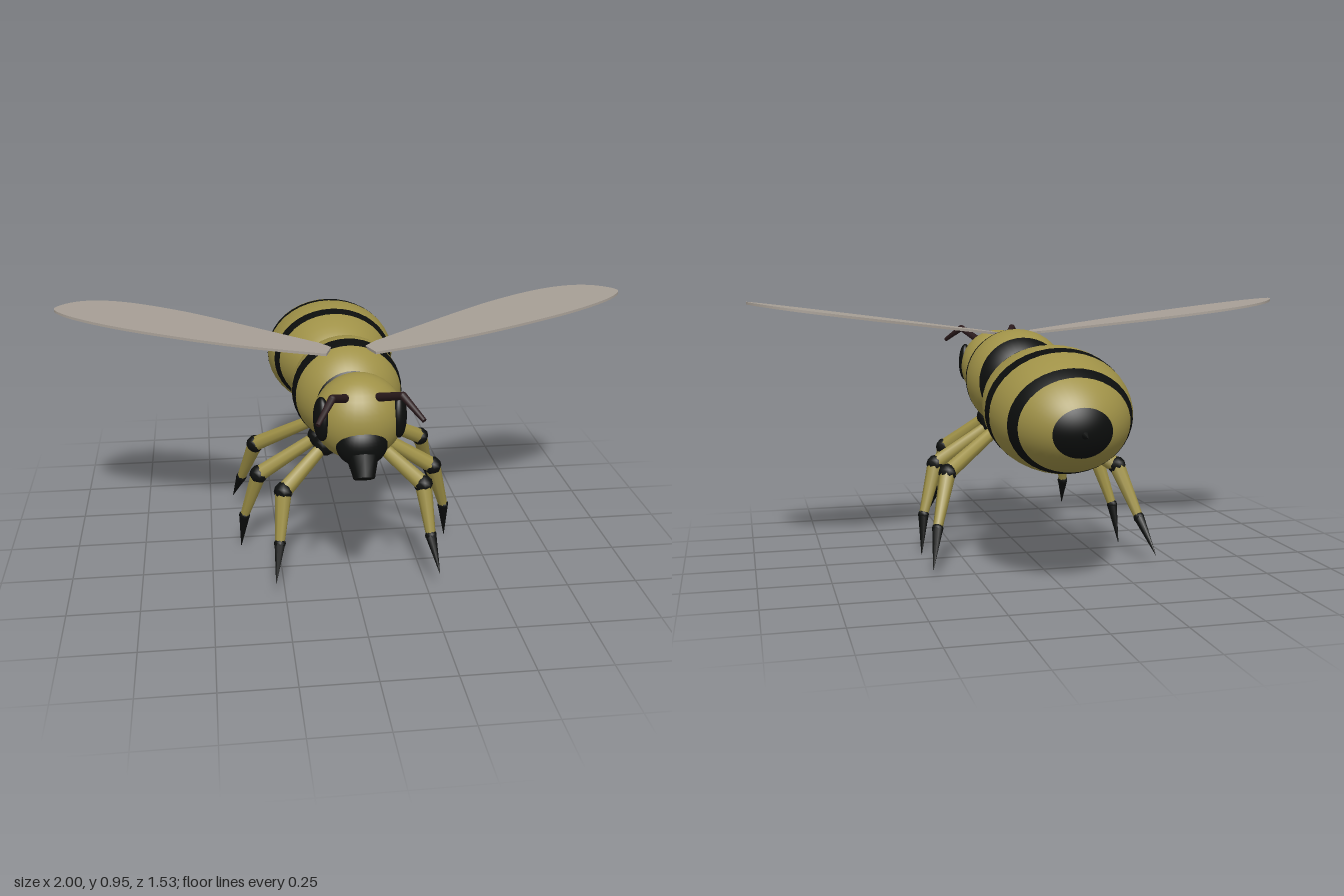
import * as THREE from 'three';

const mat = (name, color, flat = false) => {
  const m = new THREE.MeshStandardMaterial({ color, flatShading: flat });
  m.name = name;
  return m;
};
const V = (x, y, z) => new THREE.Vector3(x, y, z);

export function createModel() {
  const bee = new THREE.Group();
  bee.name = 'bee';
  const yellow = mat('yellow', 0x9f9147);
  const black = mat('black', 0x0c0e0d);
  const wingGrey = mat('wing grey', 0xa79f96);
  const brown = mat('dark brown', 0x2a1a1c);
  const grey = mat('grey', 0x777777);

  const add = (parent, name, geo, material, x = 0, y = 0, z = 0) => {
    const m = new THREE.Mesh(geo, material);
    m.name = name;
    m.position.set(x, y, z);
    parent.add(m);
    return m;
  };
  const ellipsoid = (rx, ry, rz) => new THREE.SphereGeometry(1, 32, 20).scale(rx, ry, rz);

  // tapered rod between two points
  const rod = (parent, name, a, b, ra, rb, sides, material) => {
    const d = b.clone().sub(a);
    const m = add(parent, name, new THREE.CylinderGeometry(rb, ra, d.length(), sides), material);
    m.position.copy(a).addScaledVector(d, 0.5);
    m.quaternion.setFromUnitVectors(V(0, 1, 0), d.normalize());
    return m;
  };

  // ellipsoid cut across its z axis at the given positions, alternating colours
  const striped = (name, rx, ry, rz, cuts, first) => {
    const g = new THREE.Group();
    g.name = name;
    const th = [1, ...cuts.map(c => c / rz), -1].map(s => Math.acos(s));
    for (let i = 0; i < th.length - 1; i++) {
      const geo = new THREE.SphereGeometry(1, 40, 8, 0, Math.PI * 2, th[i], th[i + 1] - th[i]);
      geo.rotateX(Math.PI / 2).scale(rx, ry, rz);
      const dark = (i % 2 === 0) === (first === black);
      add(g, dark ? 'blackBand' : 'yellowBand', geo, dark ? black : yellow);
    }
    bee.add(g);
    return g;
  };

  // body
  striped('thorax', 0.195, 0.19, 0.196, [0.152, 0.06, 0.008, -0.1, -0.155], black)
    .position.set(0, 0.647, 0.15);
  const abdomen = striped('abdomen', 0.247, 0.207, 0.333,
    [0.172, 0.127, 0.005, -0.05, -0.17, -0.215, -0.305], yellow);
  abdomen.position.set(0, 0.6, -0.41);
  abdomen.rotation.x = -0.14;
  add(abdomen, 'stinger', new THREE.ConeGeometry(0.02, 0.05, 10).rotateX(-Math.PI / 2), black, 0, 0, -0.338);
  add(bee, 'waist', ellipsoid(0.07, 0.073, 0.028), black, 0, 0.625, -0.058);

  // head and mouth
  add(bee, 'head', ellipsoid(0.15, 0.147, 0.129), yellow, 0, 0.67, 0.47);
  add(bee, 'muzzle', ellipsoid(0.085, 0.075, 0.062), black, 0, 0.605, 0.553);
  rod(bee, 'mouth', V(0, 0.57, 0.578), V(0, 0.51, 0.618), 0.052, 0.035, 8, black);
  rod(bee, 'tongue', V(0, 0.53, 0.57), V(0, 0.515, 0.46), 0.018, 0.018, 8, grey);
  add(bee, 'tongueTip', new THREE.BoxGeometry(0.06, 0.05, 0.08), black, 0, 0.512, 0.445);

  // hip, knee, ankle and toe of each leg
  const legs = {
    frontLeg: [[0.09, 0.49, 0.27], [0.245, 0.36, 0.365], [0.265, 0.19, 0.425], [0.285, 0.08, 0.505]],
    middleLeg: [[0.1, 0.475, 0.155], [0.32, 0.33, 0.148], [0.375, 0.145, 0.103], [0.39, 0.0, 0.066]],
    rearLeg: [[0.09, 0.49, 0.025], [0.32, 0.34, -0.11], [0.375, 0.16, -0.205], [0.408, 0.037, -0.3]],
  };
  const wing = [[0.27, 0.08], [0.43, 0], [0.57, -0.06], [0.73, -0.1], [0.85, -0.095], [0.94, -0.045],
    [1, 0.05], [0.97, 0.11], [0.89, 0.16], [0.77, 0.205], [0.62, 0.24], [0.48, 0.265], [0.35, 0.278], [0.22, 0.282]];

  for (const side of [1, -1]) {
    const label = side > 0 ? 'left ' : 'right ';

    const eye = add(bee, label + 'eye', ellipsoid(0.025, 0.074, 0.04), black, side * 0.127, 0.685, 0.52);
    eye.rotation.set(-0.1, side * -0.3, 0);

    // antenna with a bend
    const a = V(side * 0.05, 0.76, 0.54), b = V(side * 0.11, 0.815, 0.68), c = V(side * 0.163, 0.762, 0.76);
    rod(bee, label + 'antennaBase', a, b, 0.015, 0.013, 10, brown);
    add(bee, label + 'antennaBend', new THREE.SphereGeometry(0.013, 10, 8), brown, b.x, b.y, b.z);
    rod(bee, label + 'antennaTip', b, c, 0.013, 0.008, 10, brown);

    // wing blade, flat outline sloping up towards the tip
    const pts = wing.map(([x, z]) => new THREE.Vector2(side * x, -z));
    const shape = new THREE.Shape();
    shape.moveTo(side * 0.085, -0.282);
    shape.lineTo(side * 0.06, -0.2);
    shape.lineTo(side * 0.1, -0.165);
    shape.splineThru(pts);
    shape.closePath();
    const geo = new THREE.ExtrudeGeometry(shape, { depth: 0.009, bevelEnabled: false, curveSegments: 40 });
    geo.rotateX(-Math.PI / 2);
    const p = geo.attributes.position;
    for (let i = 0; i < p.count; i++) p.setY(i, p.getY(i) + 0.805 + 0.137 * Math.abs(p.getX(i)));
    geo.computeVertexNormals();
    add(bee, label + 'wing', geo, wingGrey);

    // legs
    for (const [name, joints] of Object.entries(legs)) {
      const leg = new THREE.Group();
      leg.name = label + name;
      bee.add(leg);
      const [hip, knee, ankle, toe] = joints.map(([x, y, z]) => V(side * x, y, z));
      add(leg, 'hip', new THREE.SphereGeometry(0.042, 10, 8), black, hip.x, hip.y, hip.z);
      rod(leg, 'thigh', hip, knee, 0.022, 0.03, 8, yellow);
      add(leg, 'knee', new THREE.SphereGeometry(0.034, 8, 6), black, knee.x, knee.y, knee.z);
      rod(leg, 'shin', knee, ankle, 0.03, 0.017, 8, yellow);
      add(leg, 'ankle', new THREE.SphereGeometry(0.021, 8, 6), black, ankle.x, ankle.y, ankle.z);
      rod(leg, 'foot', ankle, toe, 0.02, 0.001, 8, black);
    }
  }
  return bee;
}
